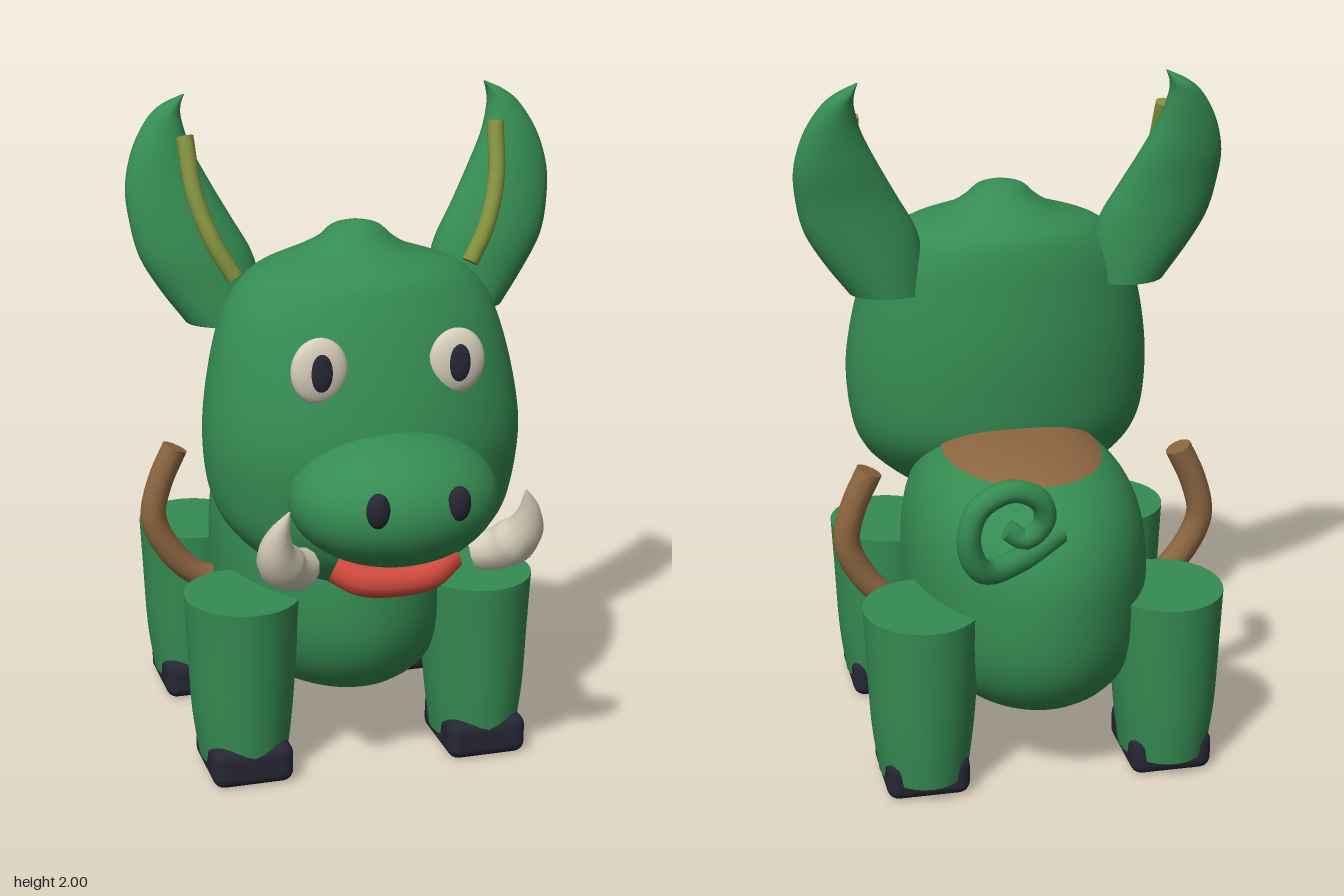
import * as THREE from 'three';
import { RoundedBoxGeometry } from 'three/addons/geometries/RoundedBoxGeometry.js';

const mat = (name, color) => {
  const m = new THREE.MeshStandardMaterial({ color });
  m.name = name;
  return m;
};
const V = (p) => new THREE.Vector3(...p);

// Closed skin over rings of points, with flat caps that keep a sharp rim
function loft(rings) {
  const n = rings[0].length, pos = [], idx = [];
  rings.forEach((r) => r.forEach((p) => pos.push(p.x, p.y, p.z)));
  for (let i = 0; i < rings.length - 1; i++) {
    for (let j = 0; j < n; j++) {
      const a = i * n + j, b = i * n + (j + 1) % n;
      idx.push(a, a + n, b, b, a + n, b + n);
    }
  }
  [rings[0], rings[rings.length - 1]].forEach((r, top) => {
    const start = pos.length / 3, c = new THREE.Vector3();
    r.forEach((p) => { c.addScaledVector(p, 1 / n); pos.push(p.x, p.y, p.z); });
    pos.push(c.x, c.y, c.z);
    for (let j = 0; j < n; j++) {
      const a = start + j, b = start + (j + 1) % n;
      idx.push(start + n, top ? b : a, top ? a : b);
    }
  });
  const g = new THREE.BufferGeometry();
  g.setAttribute('position', new THREE.Float32BufferAttribute(pos, 3));
  g.setIndex(idx);
  g.computeVertexNormals();
  return g;
}

const ring = (n, f) => Array.from({ length: n }, (_, j) => {
  const a = (j / n) * Math.PI * 2;
  return f(Math.cos(a), Math.sin(a));
});

// Elliptical level sections: rows of [y, xMin, xMax, zBack, zFront], smoothed between rows
function sections(rows, steps, n) {
  const A = new THREE.CatmullRomCurve3(rows.map((r) => V([r[0], r[1], r[2]])), false, 'catmullrom', 0.5);
  const B = new THREE.CatmullRomCurve3(rows.map((r) => V([r[3], r[4], 0])), false, 'catmullrom', 0.5);
  const rings = [];
  for (let i = 0; i <= steps; i++) {
    const a = A.getPoint(i / steps), b = B.getPoint(i / steps);
    rings.push(ring(n, (c, s) => V([
      (a.y + a.z) / 2 + c * (a.z - a.y) / 2, a.x, (b.x + b.y) / 2 + s * (b.y - b.x) / 2,
    ])));
  }
  return loft(rings);
}

// Capped tube along points with a radius given as a function of t
function limb(points, radius, steps = 28, n = 12) {
  const curve = new THREE.CatmullRomCurve3(points.map(V));
  const f = curve.computeFrenetFrames(steps);
  const rings = [];
  for (let i = 0; i <= steps; i++) {
    const p = curve.getPointAt(i / steps), r = radius(i / steps);
    rings.push(ring(n, (c, s) => p.clone()
      .addScaledVector(f.binormals[i], c * r).addScaledVector(f.normals[i], s * r)));
  }
  return loft(rings);
}

const ball = (rx, ry, rz, w = 32, h = 20) => new THREE.SphereGeometry(1, w, h).scale(rx, ry, rz);

export function createModel() {
  const green = mat('green skin', 0x358c52);
  const dark = mat('dark hoof', 0x272735);
  const cream = mat('cream ivory', 0xd8cfbb);
  const brown = mat('brown leather', 0x8c6641);
  const red = mat('red lip', 0xd24b3e);
  const olive = mat('olive inner ear', 0x84923f);

  const model = new THREE.Group();
  model.name = 'boar';
  const add = (parent, name, geo, material, at = [0, 0, 0]) => {
    const m = new THREE.Mesh(geo, material);
    m.name = name;
    m.position.set(...at);
    parent.add(m);
    return m;
  };

  // Body: full rounded barrel with a flat belly
  const P = 2.7, R = [0.36, 0.39, 0.56], C = [0, 0.555, -0.14];
  const profile = [new THREE.Vector2(0, -0.91), new THREE.Vector2(0.56, -0.91)];
  for (let i = 0; i <= 40; i++) {
    const t = -0.91 + 1.91 * Math.sin((i / 40) * Math.PI / 2);
    profile.push(new THREE.Vector2(Math.pow(Math.max(0, 1 - Math.pow(Math.abs(t), P)), 1 / P), t));
  }
  add(model, 'body', new THREE.LatheGeometry(profile, 64).scale(...R), green, C);

  // Saddle: thin patch lying on the back
  const back = (x, z) => {
    const q = Math.hypot(x / R[0], (z - C[2]) / R[2]);
    return C[1] + R[1] * Math.pow(1 - Math.pow(q, P), 1 / P) + 0.006;
  };
  const saddleRings = [];
  for (let i = 0; i < 14; i++) {
    const r = 1 - i / 14;
    saddleRings.push(ring(48, (c, s) => {
      const x = 0.235 * r * c, z = -0.13 + 0.35 * r * s;
      return V([x, back(x, z), z]);
    }));
  }
  add(model, 'saddle', loft(saddleRings), brown);

  // Head with a small crown bump
  const head = [
    [0.605, 0.06, 0.24, 0.34], [0.625, 0.16, 0.16, 0.41], [0.66, 0.25, 0.10, 0.46],
    [0.72, 0.34, 0.04, 0.52], [0.80, 0.415, -0.04, 0.555], [0.90, 0.455, -0.1, 0.57],
    [1.05, 0.47, -0.115, 0.58], [1.20, 0.455, -0.115, 0.55], [1.35, 0.42, -0.1, 0.50],
    [1.45, 0.375, -0.085, 0.455], [1.52, 0.30, -0.06, 0.41], [1.565, 0.17, -0.005, 0.325],
    [1.60, 0.11, 0.06, 0.27], [1.635, 0.07, 0.10, 0.23], [1.65, 0.015, 0.15, 0.18],
  ].map(([y, w, b, f]) => [y, -w, w, b, f]);
  add(model, 'head', sections(head, 70, 48), green);
  add(model, 'snout', ball(0.3, 0.19, 0.26, 48, 32), green, [0, 0.94, 0.55]);
  add(model, 'lip', limb([
    [-0.17, 0.745, 0.55], [-0.1, 0.71, 0.585], [0, 0.7, 0.59], [0.1, 0.71, 0.585], [0.17, 0.745, 0.55],
  ], () => 0.046), red);

  // Curly tail
  add(model, 'tail', limb([
    [0, 0.83, -0.62], [0.13, 0.785, -0.69], [0.24, 0.79, -0.755], [0.285, 0.88, -0.78],
    [0.26, 0.985, -0.785], [0.17, 1.03, -0.78], [0.085, 0.99, -0.765], [0.07, 0.92, -0.75],
    [0.12, 0.87, -0.74], [0.17, 0.9, -0.735],
  ], (t) => 0.037 - 0.007 * t, 60), green);

  // Paired parts, built on the left and mirrored to the right
  for (const s of [1, -1]) {
    const half = new THREE.Group();
    half.name = s > 0 ? 'leftSide' : 'rightSide';
    half.scale.x = s;
    model.add(half);

    // Legs and hooves
    for (const [name, z, hz] of [['front', 0.218, 0.235], ['rear', -0.455, -0.438]]) {
      add(half, name + 'Leg', sections([
        [0.05, 0.233, 0.495, z - 0.158, z + 0.156], [0.2, 0.215, 0.515, z - 0.172, z + 0.166],
        [0.4, 0.2, 0.525, z - 0.183, z + 0.178], [0.56, 0.19, 0.533, z - 0.19, z + 0.19],
      ], 12, 32), green);
      add(half, name + 'Hoof', new RoundedBoxGeometry(0.245, 0.122, 0.285, 4, 0.035), dark, [0.365, 0.061, hz]);
    }

    // Ear and the strip inside it
    add(half, 'ear', sections([
      [1.355, 0.25, 0.48, -0.035, 0.165], [1.45, 0.255, 0.55, -0.038, 0.15],
      [1.55, 0.28, 0.608, -0.04, 0.135], [1.65, 0.335, 0.632, -0.045, 0.11],
      [1.75, 0.39, 0.638, -0.06, 0.08], [1.85, 0.44, 0.612, -0.07, 0.05],
      [1.93, 0.463, 0.565, -0.076, 0.02], [1.97, 0.463, 0.52, -0.07, 0.0],
      [2.0, 0.452, 0.458, -0.035, -0.028],
    ], 40, 28), green);
    add(half, 'innerEar', limb([
      [0.355, 1.5, 0.155], [0.41, 1.6, 0.135], [0.453, 1.73, 0.092], [0.467, 1.89, 0.035],
    ], () => 0.025), olive);

    // Eye, pupil and nostril
    add(half, 'eye', ball(0.082, 0.095, 0.033), cream, [0.2, 1.305, 0.497]);
    add(half, 'pupil', ball(0.032, 0.054, 0.012), dark, [0.2, 1.305, 0.524]);
    add(half, 'nostril', ball(0.033, 0.05, 0.026), dark, [0.115, 0.985, 0.784]);

    // Tusk: thick at the root, curling up to a point
    add(half, 'tusk', limb([
      [0.26, 0.745, 0.535], [0.32, 0.77, 0.585], [0.36, 0.83, 0.635], [0.362, 0.9, 0.67], [0.34, 0.975, 0.7],
    ], (t) => 0.003 + (t < 0.35 ? 0.055 + 0.025 * t : 0.064 * (1 - Math.pow((t - 0.35) / 0.65, 1.3)))), cream);

    // Stirrup strap
    add(half, 'strap', limb([
      [0.468, 0.89, -0.2], [0.518, 0.78, -0.2], [0.54, 0.67, -0.2],
      [0.5, 0.57, -0.2], [0.42, 0.48, -0.2], [0.33, 0.445, -0.2],
    ], () => 0.04), brown);
  }
  return model;
}
